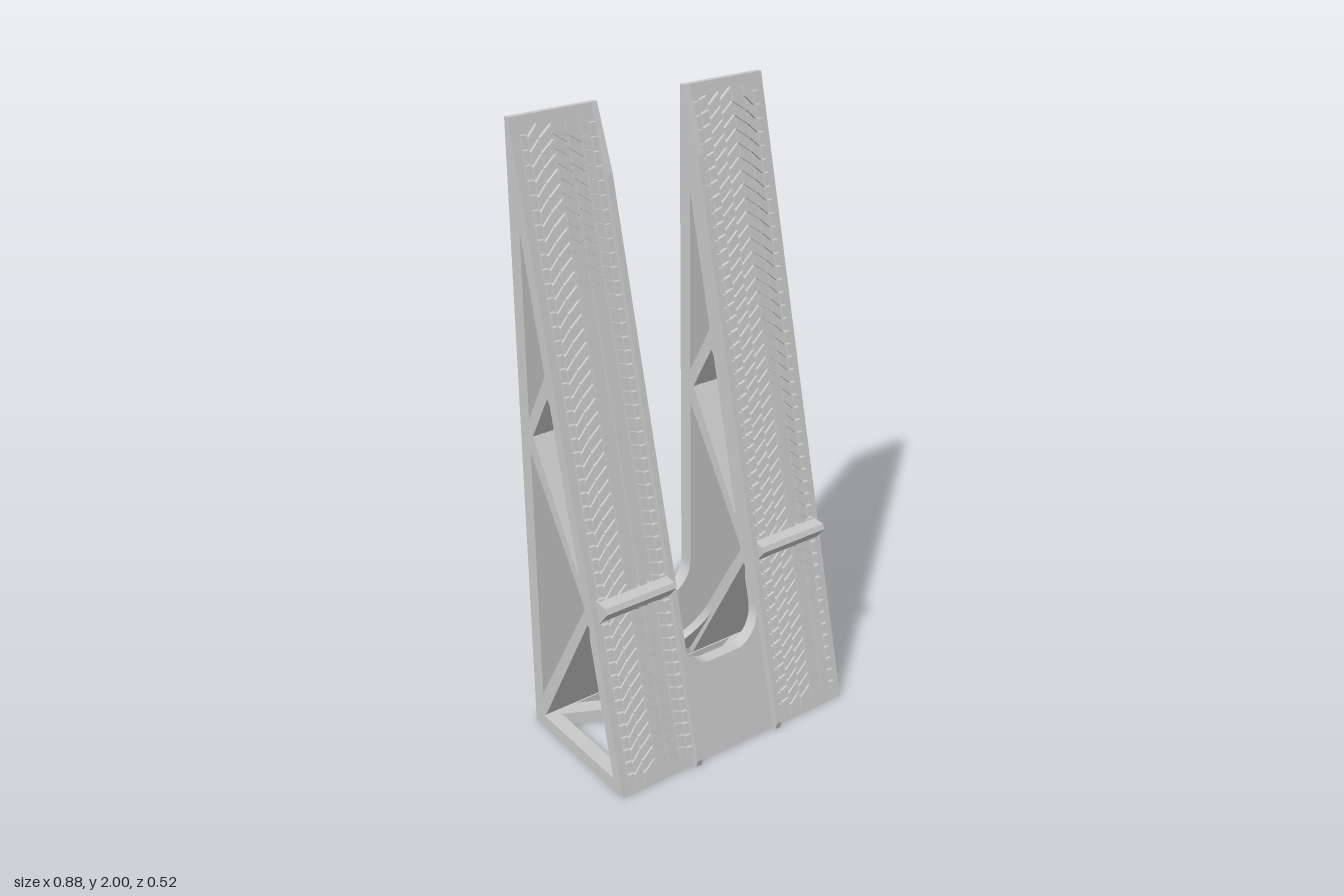
import * as THREE from 'three';

const SLOPE = 0.24;      // how far the front leans back per unit of height
const FRONT = 0.237;     // z of the sloped face at the floor
const INNER = 0.197;     // z of the back of the sloped plate at the floor
const IN = 0.15, OUT = 0.44;

const toShape = (pts, holes = []) => {
  const s = new THREE.Shape(pts.map(p => new THREE.Vector2(...p)));
  for (const h of holes) s.holes.push(new THREE.Path(h.map(p => new THREE.Vector2(...p))));
  return s;
};

// extrude a (z, y) profile between two x values
function across(shape, x0, x1) {
  const g = new THREE.ExtrudeGeometry(shape, { depth: x1 - x0, bevelEnabled: false });
  return g.rotateY(-Math.PI / 2).translate(x1, 0, 0);
}

// extrude an (x, y) shape along z and lean it: z += z0 + k * y
function leaning(shape, depth, z0, k) {
  const g = new THREE.ExtrudeGeometry(shape, { depth, bevelEnabled: false, curveSegments: 16 });
  const p = g.attributes.position;
  for (let i = 0; i < p.count; i++) p.setZ(i, p.getZ(i) + z0 + k * p.getY(i));
  g.computeVertexNormals();
  return g;
}

// panel between the legs whose top edge is a U with rounded corners
function uPanel(bottom, mid, side) {
  const s = new THREE.Shape();
  const flat = 0.055, c = 0.6;
  s.moveTo(-IN, bottom);
  s.lineTo(IN, bottom);
  s.lineTo(IN, side);
  s.bezierCurveTo(IN, side + (mid - side) * c, flat + (IN - flat) * (1 - c), mid, flat, mid);
  s.lineTo(-flat, mid);
  s.bezierCurveTo(-flat - (IN - flat) * (1 - c), mid, -IN, side + (mid - side) * c, -IN, side);
  return s;
}

export function createModel() {
  const model = new THREE.Group();
  const grey = new THREE.MeshStandardMaterial({ color: 0xc8c8c8 });
  grey.name = 'light grey';
  const add = (name, geometry) => {
    const m = new THREE.Mesh(geometry, grey);
    m.name = name;
    model.add(m);
  };
  const inner = y => INNER - SLOPE * y;

  // Leg truss: back plate, sloped plate and three braces, open at the floor
  const truss = toShape([
    [-0.26, 0], [-0.21, 0], [-0.21, 0.045], [-0.195, 0.06], [0.07, 0.54],
    [0.078, 0.535], [0.08, inner(0) - 0.197 + 0.49], [INNER, 0],
    [FRONT, 0], [FRONT - SLOPE * 2, 2], [-0.26, 2],
  ], [
    [[0.056, 0.585], [-0.21, 0.13], [-0.21, 1.0], [0.045, 0.61]],
    [[0.028, 0.7], [0.018, 0.705], [-0.193, 1.06], [-0.103, 1.215], [inner(1.2), 1.2]],
    [[inner(1.275), 1.275], [-0.112, 1.28], [-0.21, 1.11], [-0.21, 1.69]],
  ]);

  // Raised inner rail and wedge-shaped ledge
  const rail = toShape([
    [0.22, 0], [0.25, 0], [0.256, 0.025], [-0.173, 1.81], [-0.243, 2], [-0.25, 2],
  ]);
  const ledge = toShape([
    [0.08, 0.626], [0.138, 0.622], [0.146, 0.605], [0.106, 0.555], [0.09, 0.555],
  ]);

  // Tread columns, with the slant of the blocks in each
  const edges = [0.172, 0.195, 0.225, 0.27, 0.315, 0.36, 0.395, 0.418];
  const slants = [0, 0.008, 0.03, 0.03, -0.03, -0.03, 0];
  const pitch = 0.04, gap = 0.007;

  for (const s of [1, -1]) {
    const side = s > 0 ? 'left' : 'right';
    const span = (shape, a, b) => s > 0 ? across(shape, a, b) : across(shape, -b, -a);
    add(side + 'Leg', span(truss, IN, OUT));
    add(side + 'Rail', span(rail, IN, 0.17));
    add(side + 'Ledge', span(ledge, 0.17, 0.42));

    const blocks = [];
    for (let row = 0; row < 48; row++) {
      for (let c = 0; c < slants.length; c++) {
        const a = s * edges[c], b = s * (edges[c + 1] - 0.004);
        const d = slants[c] / 2;
        const y = 0.037 + row * pitch + (c % 2) * 0.008;
        const h = pitch - gap;
        blocks.push(toShape([[a, y - d], [b, y + d], [b, y + d + h], [a, y - d + h]]));
      }
    }
    add(side + 'Tread', leaning(blocks, 0.012, FRONT - 0.001, -SLOPE));
  }

  // Panels and brace joining the legs below the U opening
  add('backPanel', leaning(uPanel(0, 0.305, 0.41), 0.05, -0.26, 0));
  add('frontPanel', leaning(uPanel(0, 0.305, 0.41), FRONT - INNER, INNER, -SLOPE));
  add('lowerBrace', leaning(uPanel(0.06, 0.14, 0.29), 0.035, -0.2857, 0.582));

  // Floor frame with a diagonal cross
  const c = -0.01, k = 0.52, t = 0.03, hx = 0.39, hz = 0.195;
  const holes = [];
  for (const s of [1, -1]) {
    const ex = (hz - t) / k, ez = k * hx - t;
    holes.push([[0, c + s * t], [ex, c + s * hz], [-ex, c + s * hz]]);
    holes.push([[s * t / k, c], [s * hx, c + ez], [s * hx, c - ez]]);
  }
  const floor = new THREE.ExtrudeGeometry(
    toShape([[-OUT, -0.22], [OUT, -0.22], [OUT, 0.2], [-OUT, 0.2]], holes),
    { depth: 0.045, bevelEnabled: false });
  add('floorFrame', floor.rotateX(Math.PI / 2).translate(0, 0.045, 0));

  return model;
}
